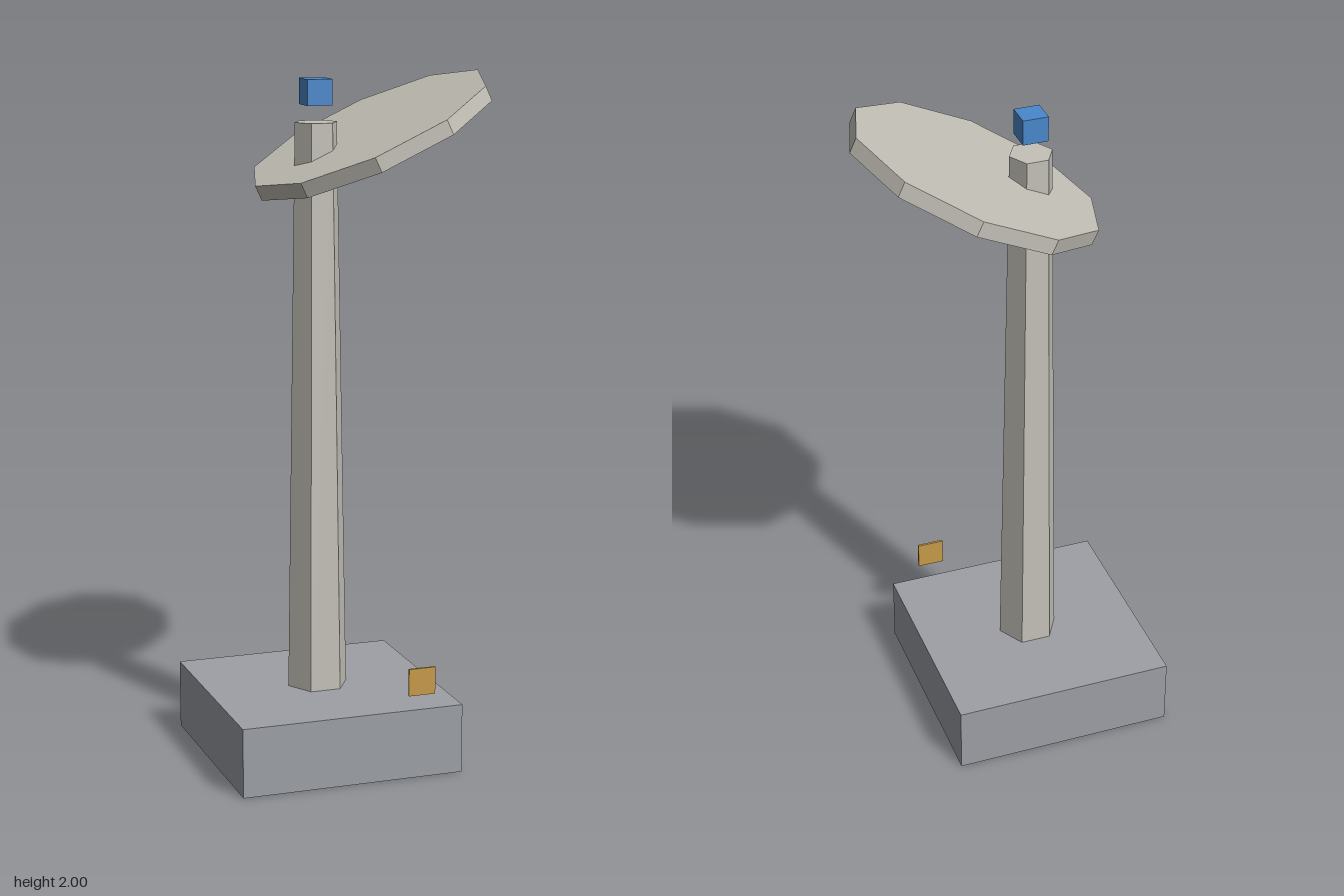
import * as THREE from 'three';

const paint = (name, color) => Object.assign(new THREE.MeshStandardMaterial({ color, flatShading: true }), { name });

export function createModel() {
  const group = new THREE.Group();
  const stone = paint('pale stone', 0xc4c1b8);
  const slate = paint('grey slate', 0x9da0a6);
  const gold = paint('gold', 0xc89b4a);
  const blue = paint('blue', 0x4a88cc);

  const add = (name, geometry, material, x, y, z = 0) => {
    const mesh = new THREE.Mesh(geometry, material);
    mesh.name = name;
    mesh.position.set(x, y, z);
    group.add(mesh);
    return mesh;
  };

  // square plinth, with the mast standing at its centre
  const axis = -0.092;
  add('base', new THREE.BoxGeometry(0.662, 0.204, 0.662), slate, axis, 0.102);

  // tapered six-sided mast, corners pointing along x
  const mast = new THREE.CylinderGeometry(0.063, 0.09, 1.66, 6).rotateY(Math.PI / 2);
  add('mast', mast, stone, axis, 1.034);

  // ten-sided disc, tilted up towards +x and pierced by the mast
  const disc = new THREE.CylinderGeometry(0.371, 0.371, 0.046, 10).rotateY(Math.PI / 2);
  add('tiltedDisc', disc, stone, 0.0735, 1.823).rotation.z = THREE.MathUtils.degToRad(24.8);

  // small cube floating above the mast
  add('topCube', new THREE.BoxGeometry(0.074, 0.074, 0.074), blue, axis, 1.949);

  // thin square plaque above the front edge of the base
  add('plaque', new THREE.BoxGeometry(0.08, 0.08, 0.007), gold, 0.111, 0.29, 0.3365);

  return group;
}
